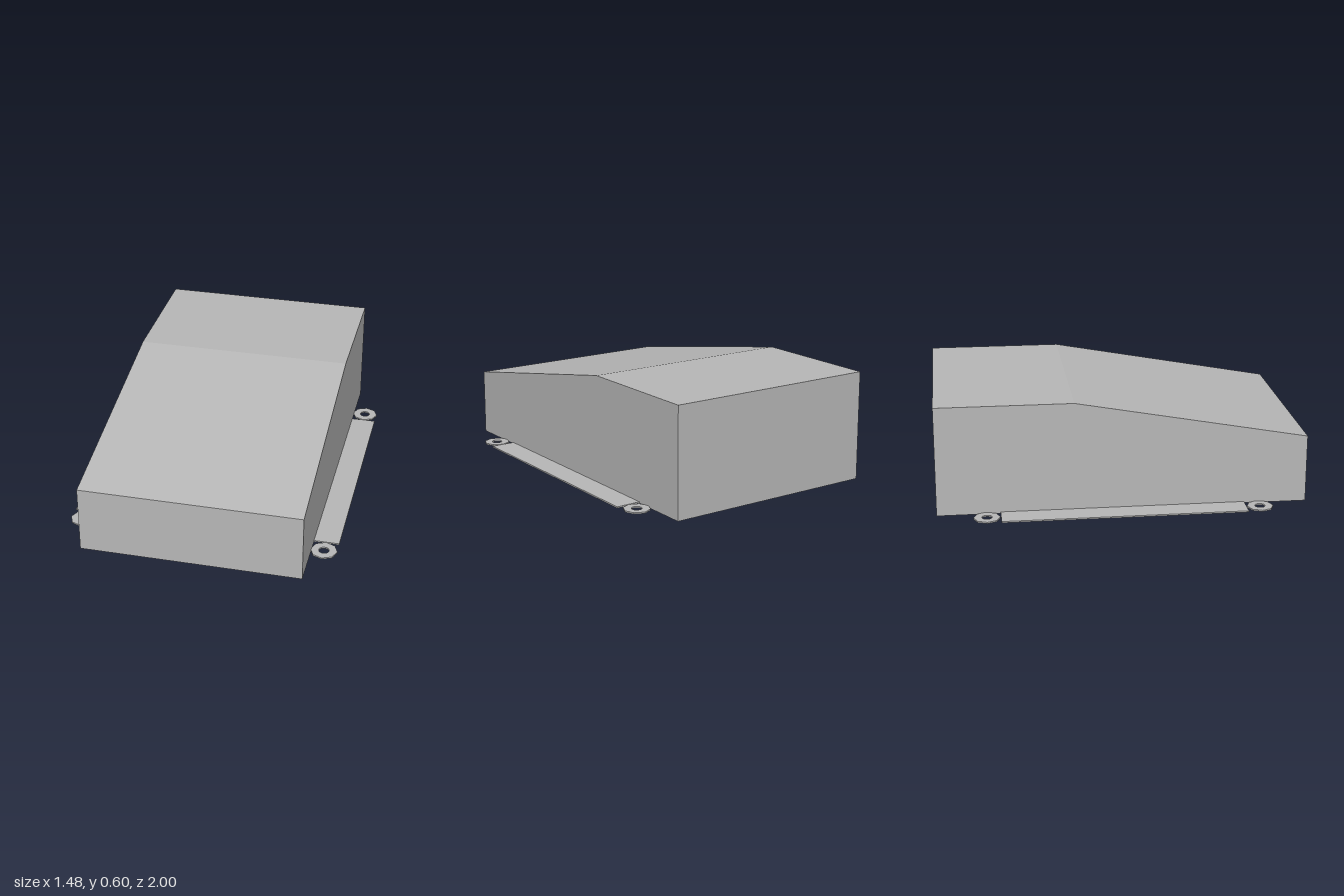
import * as THREE from 'three';

const PLATE = 0.008; // thickness of flanges and mounting eyes

export function createModel() {
  const model = new THREE.Group();
  const grey = new THREE.MeshStandardMaterial({ color: 0xb8b8b8 });
  grey.name = 'plain grey';

  const add = (geometry, name) => {
    const mesh = new THREE.Mesh(geometry, grey);
    mesh.name = name;
    model.add(mesh);
    return mesh;
  };

  // Wedge-fronted housing: side profile (z, y) extruded across the width
  const profile = new THREE.Shape([
    [1, 0], [1, 0.37], [-0.26, 0.6], [-1, 0.6], [-1, 0],
  ].map(([z, y]) => new THREE.Vector2(-z, y)));
  const housing = new THREE.ExtrudeGeometry(profile, { depth: 1.2, bevelEnabled: false });
  housing.translate(0, 0, -0.6);
  housing.rotateY(Math.PI / 2); // profile x becomes -z
  add(housing, 'housing');

  // Octagonal mounting eye with a round screw hole, lying flat
  const outline = [];
  for (let i = 0; i < 8; i++) {
    const a = (i / 8) * Math.PI * 2;
    outline.push(new THREE.Vector2(Math.cos(a) * 0.072, Math.sin(a) * 0.072));
  }
  const eyeShape = new THREE.Shape(outline);
  eyeShape.holes.push(new THREE.Path().absarc(0, 0, 0.028, 0, Math.PI * 2, true));
  const eye = new THREE.ExtrudeGeometry(eyeShape, { depth: PLATE, bevelEnabled: false, curveSegments: 8 });
  eye.rotateX(-Math.PI / 2);

  // Side flanges with an eye at each end
  const flange = new THREE.BoxGeometry(0.14, PLATE, 1.32);
  for (const [side, label] of [[1, 'left'], [-1, 'right']]) {
    add(flange, label + 'Flange').position.set(side * 0.667, PLATE / 2, 0);
    for (const [end, where] of [[1, 'Front'], [-1, 'Back']]) {
      add(eye, label + where + 'MountingEye').position.set(side * 0.667, 0, end * 0.735);
    }
  }
  return model;
}
